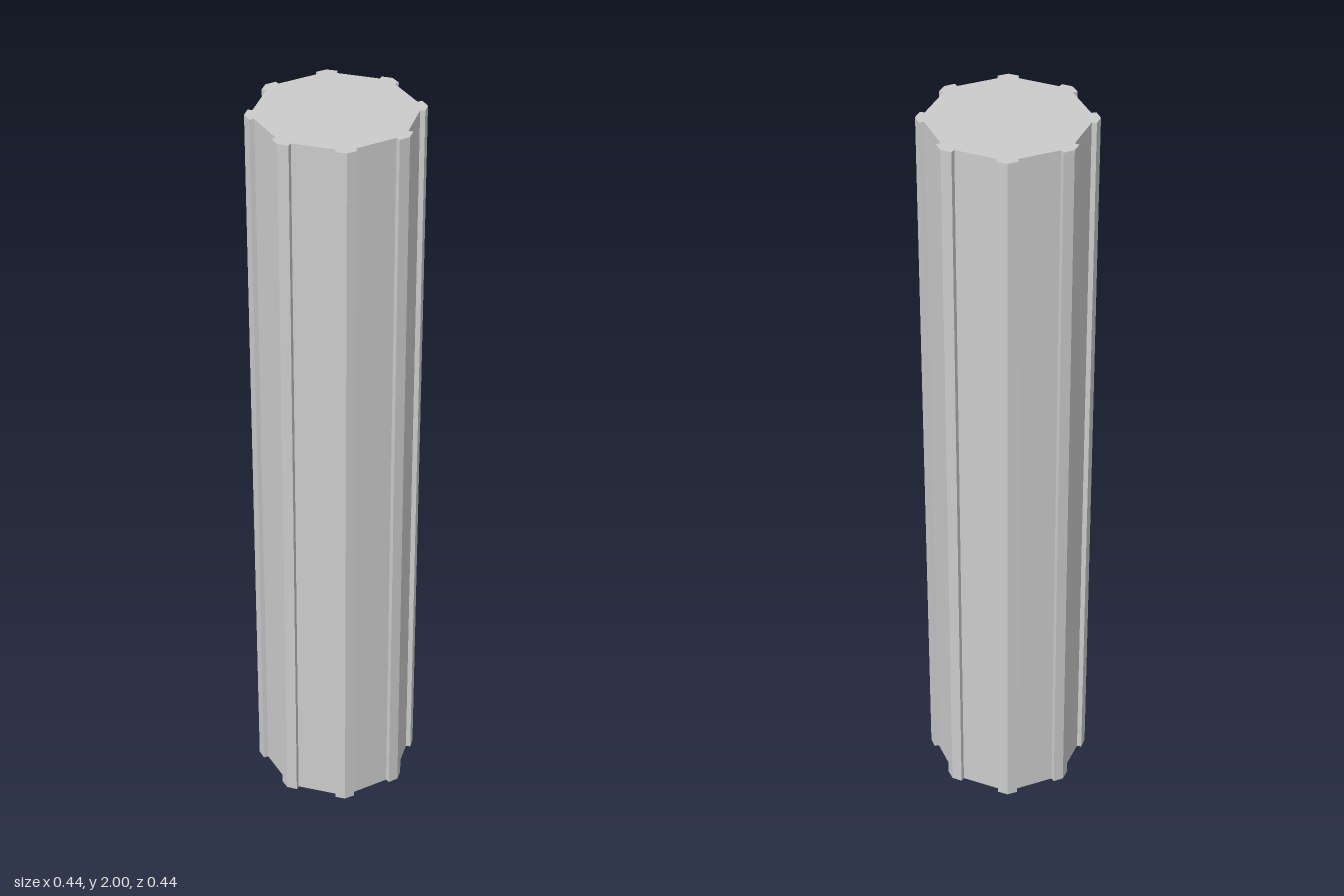
import * as THREE from 'three';

// One corner rib as [radius, sideways offset], listed counter-clockwise
const RIB = [
  [0.196, -0.023],
  [0.208, -0.026],
  [0.218, 0],
  [0.208, 0.026],
  [0.196, 0.023],
];
const SIDES = 8;
const HEIGHT = 2;

export function createModel() {
  const group = new THREE.Group();
  group.name = 'ribbedColumn';

  // Octagonal outline with a small pointed rib at every corner
  const outline = [];
  for (let i = 0; i < SIDES; i++) {
    const a = (i / SIDES) * Math.PI * 2;
    const c = Math.cos(a), s = Math.sin(a);
    for (const [r, t] of RIB) outline.push(new THREE.Vector2(r * c - t * s, r * s + t * c));
  }

  // Straight shaft with flat ends, standing upright
  const geometry = new THREE.ExtrudeGeometry(new THREE.Shape(outline), {
    depth: HEIGHT,
    bevelEnabled: false,
  });
  geometry.rotateX(-Math.PI / 2);

  const shaft = new THREE.Mesh(
    geometry,
    new THREE.MeshStandardMaterial({ color: 0xcccccc, flatShading: true })
  );
  shaft.name = 'shaft';
  group.add(shaft);
  return group;
}
